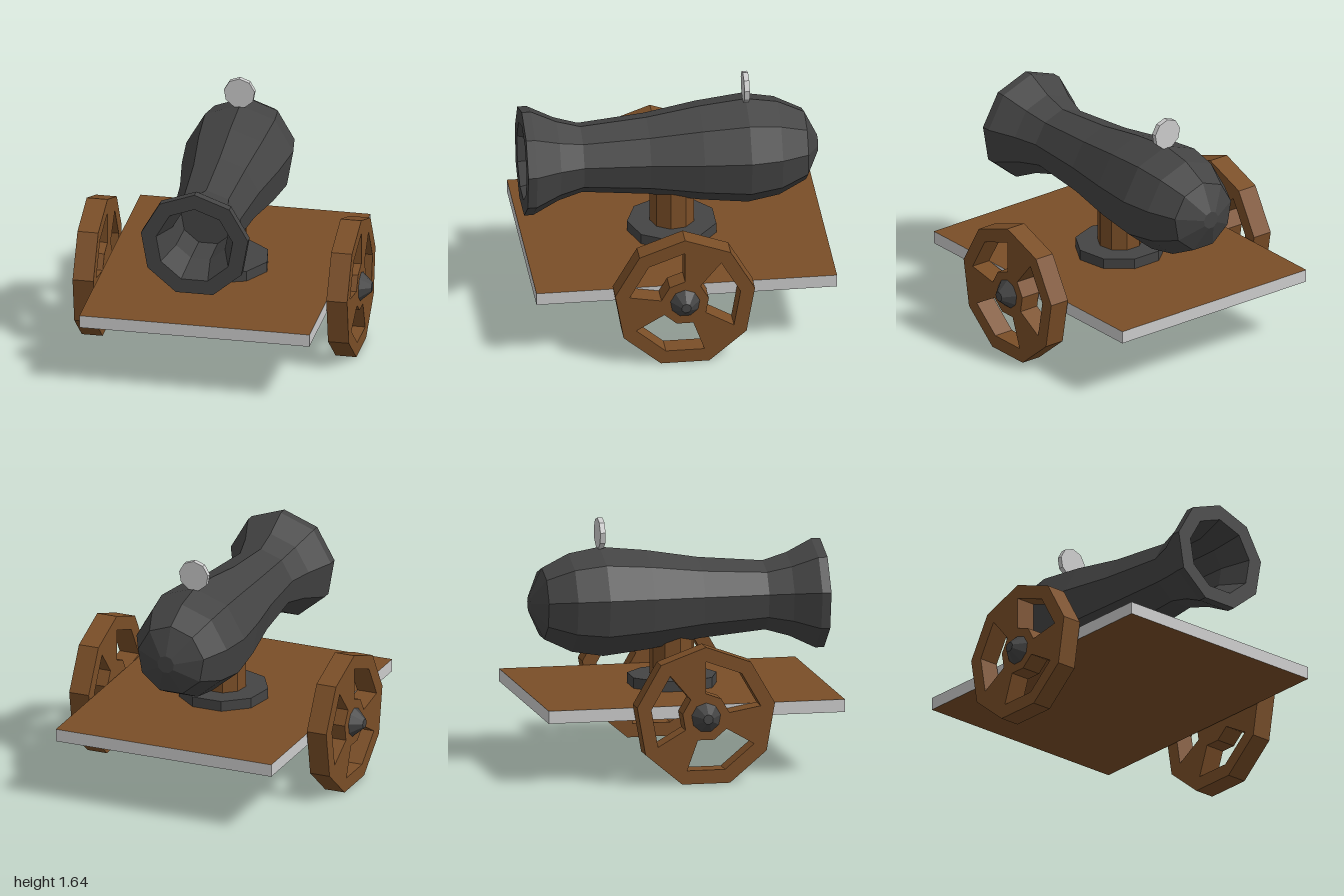
import * as THREE from 'three';

const SIDES = 9;
const mat = (color) => new THREE.MeshStandardMaterial({ color, flatShading: true });

export function createModel() {
  const model = new THREE.Group();
  model.name = 'cannon';
  const iron = mat(0x444444), wood = mat(0x7a4e27), grey = mat(0xcccccc);

  const add = (name, geometry, material, x = 0, y = 0, z = 0) => {
    const mesh = new THREE.Mesh(geometry, material);
    mesh.name = name;
    mesh.position.set(x, y, z);
    model.add(mesh);
    return mesh;
  };

  // Deck: wooden top and bottom, grey edges
  add('deck', new THREE.BoxGeometry(1.55, 0.085, 2), [grey, grey, wood, wood, grey, grey], 0, 0.457, 0);

  // Swivel mount
  add('mountBase', new THREE.CylinderGeometry(0.3, 0.3, 0.07, SIDES), iron, 0, 0.535, 0);
  add('mountPost', new THREE.CylinderGeometry(0.15, 0.15, 0.38, SIDES), wood, 0, 0.76, 0);

  // Barrel: [radius, z] from the breech to the muzzle and back into the bore
  const profile = [
    [0, -0.965], [0.06, -0.965], [0.24, -0.88], [0.33, -0.7], [0.366, -0.49],
    [0.332, -0.18], [0.272, 0.17], [0.232, 0.61], [0.28, 0.77], [0.366, 0.94],
    [0.366, 1], [0.262, 1], [0.19, 0.8], [0.186, 0.55], [0, 0.55],
  ].map(([r, z]) => new THREE.Vector2(r, z));
  const barrel = new THREE.LatheGeometry(profile, SIDES, Math.PI);
  barrel.rotateX(Math.PI / 2);
  add('barrel', barrel, iron, 0, 1.074, 0);

  // Round sight standing on the barrel
  const sight = new THREE.CylinderGeometry(0.105, 0.105, 0.035, SIDES, 1, false, Math.PI);
  sight.rotateX(Math.PI / 2);
  add('sight', sight, grey, 0, 1.532, -0.488);

  // Wheel outline with three openings between the spokes
  const corner = (r, i) => {
    const a = (i * Math.PI * 2) / SIDES;
    return new THREE.Vector2(-r * Math.sin(a), r * Math.cos(a));
  };
  const wheelShape = new THREE.Shape(Array.from({ length: SIDES }, (_, i) => corner(0.472, i)));
  for (let i = 0; i < SIDES; i += 3) {
    wheelShape.holes.push(new THREE.Path([
      corner(0.375, i), corner(0.375, i + 1), corner(0.375, i + 2),
      corner(0.16, i + 2), corner(0.16, i + 1), corner(0.16, i),
    ]));
  }
  const wheel = new THREE.ExtrudeGeometry(wheelShape, { depth: 0.14, bevelEnabled: false });
  wheel.translate(0, 0, -0.07);
  wheel.rotateY(Math.PI / 2);

  // Wheels and hubcaps, one on each side
  for (const [side, label] of [[1, 'left'], [-1, 'right']]) {
    add(label + 'Wheel', wheel, wood, side * 0.855, 0.443, 0.03);
    const hub = new THREE.CylinderGeometry(0.033, 0.1, 0.075, SIDES, 1, false, (-side * Math.PI) / 2);
    hub.rotateZ((-side * Math.PI) / 2);
    add(label + 'Hubcap', hub, iron, side * 0.9615, 0.443, 0.03);
  }

  return model;
}
